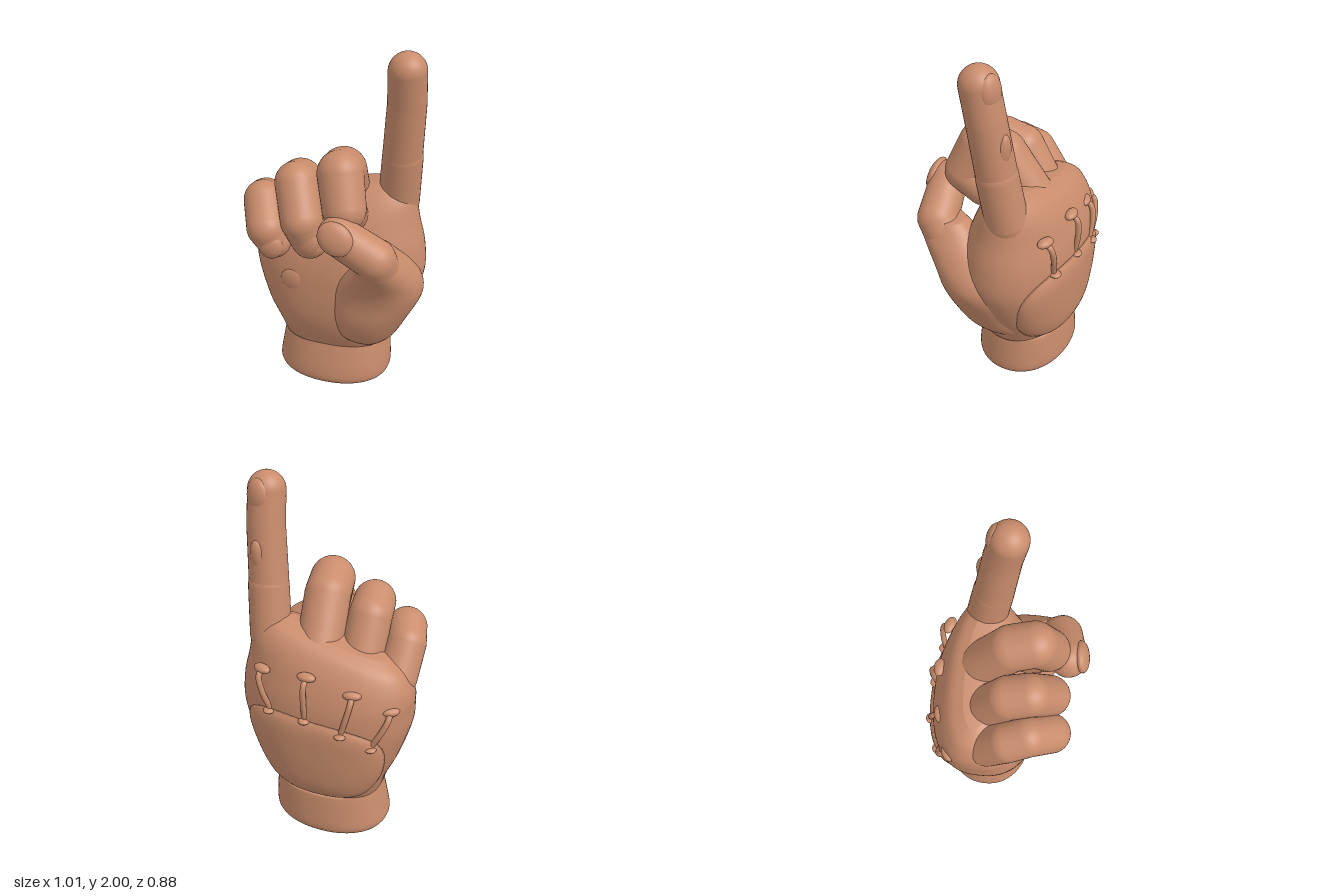
import * as THREE from 'three';

const skin = new THREE.MeshStandardMaterial({ color: 0xc98c6c });
skin.name = 'skin';
const V = (p) => new THREE.Vector3(...p);

// Surface through closed rings of points, with both ends collapsed to their centres
function ringSurface(rings) {
  const centre = (r) => {
    const c = r.reduce((s, p) => s.add(p), new THREE.Vector3()).divideScalar(r.length);
    return r.map(() => c);
  };
  const rows = [centre(rings[0]), ...rings, centre(rings[rings.length - 1])];
  const n = rings[0].length, pos = [], index = [];
  rows.forEach((r) => r.forEach((p) => pos.push(p.x, p.y, p.z)));
  for (let i = 0; i < rows.length - 1; i++) {
    for (let j = 0; j < n; j++) {
      const k = (j + 1) % n, a = i * n + j, b = i * n + k, c = a + n, d = b + n;
      index.push(a, c, b, b, c, d);
    }
  }
  const g = new THREE.BufferGeometry();
  g.setAttribute('position', new THREE.Float32BufferAttribute(pos, 3));
  g.setIndex(index);
  g.computeVertexNormals();
  return g;
}

// Smoothly interpolated section: [y, centre x, half width, front z, back z, tilt]
function sectionAt(rows, t) {
  const i = Math.min(Math.floor(t), rows.length - 2), f = t - i;
  const at = (k) => rows[Math.max(0, Math.min(rows.length - 1, k))];
  return rows[0].map((_, c) => {
    const a = at(i - 1)[c], b = at(i)[c], d = at(i + 1)[c], e = at(i + 2)[c];
    return b + 0.5 * f * (d - a + f * (2 * a - 5 * b + 4 * d - e + f * (3 * (b - d) + e - a)));
  });
}

// Point on a rounded section whose +x and -x halves may differ in squareness
function formPoint({ rows, plusPower, minusPower }, t, angle, grow = 0) {
  const [y, cx, rx, zf, zb, tilt] = sectionAt(rows, t);
  const power = Math.cos(angle) > 0 ? plusPower : minusPower;
  const s = (v) => Math.sign(v) * Math.pow(Math.abs(v), 2 / power);
  const x = cx + (rx + grow) * s(Math.cos(angle));
  const z = (zf + zb) / 2 + ((zf - zb) / 2 + grow) * s(Math.sin(angle));
  return new THREE.Vector3(x, y + tilt * x, z);
}

function loft(form, steps) {
  const rings = [], n = 72, count = (form.rows.length - 1) * steps;
  for (let i = 0; i <= count; i++) {
    rings.push(Array.from({ length: n }, (_, j) => formPoint(form, i / steps, j / n * Math.PI * 2)));
  }
  return ringSurface(rings);
}

const palm = { plusPower: 2.15, minusPower: 2.5, rows: [
  [0.25, -0.03, 0.31, 0.12, -0.33, 0],
  [0.36, -0.025, 0.35, 0.17, -0.385, 0],
  [0.5, -0.02, 0.415, 0.2, -0.405, 0],
  [0.7, -0.012, 0.482, 0.2, -0.41, 0],
  [0.85, -0.018, 0.485, 0.18, -0.405, 0.05],
  [0.97, -0.038, 0.467, 0.14, -0.38, 0.15],
  [1.08, -0.045, 0.445, 0.08, -0.34, 0.23],
  [1.16, -0.05, 0.39, 0.01, -0.285, 0.25],
  [1.2, -0.05, 0.29, -0.07, -0.21, 0.25],
] };
const thumbBase = { plusPower: 2.1, minusPower: 2.8, rows: [
  [0.28, 0.2, 0.08, 0.08, -0.22, 0],
  [0.36, 0.19, 0.165, 0.18, -0.26, 0],
  [0.5, 0.21, 0.215, 0.24, -0.24, 0],
  [0.65, 0.25, 0.245, 0.255, -0.2, 0],
  [0.75, 0.275, 0.222, 0.28, -0.16, 0],
  [0.85, 0.3, 0.16, 0.33, -0.07, 0],
  [0.93, 0.3, 0.12, 0.37, 0.03, 0],
  [1.02, 0.29, 0.08, 0.38, 0.13, 0],
] };
const wrist = { plusPower: 2.15, minusPower: 2.15, rows: [
  [0, -0.045, 0.31, 0.135, -0.335, 0],
  [0.005, -0.045, 0.325, 0.15, -0.35, 0],
  [0.04, -0.045, 0.337, 0.163, -0.367, 0],
  [0.12, -0.04, 0.33, 0.155, -0.365, 0],
  [0.24, -0.035, 0.315, 0.13, -0.355, 0],
  [0.265, -0.035, 0.305, 0.12, -0.345, 0],
  [0.29, -0.035, 0.27, 0.08, -0.3, 0],
] };

export function createModel() {
  const model = new THREE.Group();
  model.name = 'pointingHand';
  const add = (name, geometry, parent = model) => {
    const m = new THREE.Mesh(geometry, skin);
    m.name = name;
    parent.add(m);
    return m;
  };

  add('wrist', loft(wrist, 4));
  add('palm', loft(palm, 6));
  add('thumbBase', loft(thumbBase, 6));

  // Raised pad wrapped over the back of the hand, wider towards the wrist
  const padRings = [];
  for (let i = 1; i <= 20; i++) {
    const r = i / 20;
    padRings.push(Array.from({ length: 72 }, (_, j) => {
      const s = j / 72 * Math.PI * 2;
      const sq = (v) => Math.sign(v) * Math.pow(Math.abs(v), 0.8);
      const u = r * sq(Math.cos(s)), v = -r * sq(Math.sin(s));
      const t = 1.95 + 1.75 * v + 0.2 * u * (v + 1) / 2;
      return formPoint(palm, t, -Math.PI / 2 + u * (1.15 - 0.2 * v), 0.028 * (1 - r ** 8) - 0.002);
    }));
  }
  add('backPad', ringSurface(padRings));

  // Chain of tapered bones with round joints
  function finger(name, points, radii) {
    const g = new THREE.Group();
    g.name = name;
    model.add(g);
    points.map(V).forEach((p, i, all) => {
      add('joint', new THREE.SphereGeometry(radii[i], 36, 24), g).position.copy(p);
      if (!i) return;
      const d = p.clone().sub(all[i - 1]);
      const bone = add('bone', new THREE.CylinderGeometry(radii[i], radii[i - 1], d.length(), 36, 1, true), g);
      bone.position.copy(p).addScaledVector(d, -0.5);
      bone.quaternion.setFromUnitVectors(new THREE.Vector3(0, 1, 0), d.normalize());
    });
  }
  finger('indexLowerFinger', [[0.305, 1.13, -0.145], [0.327, 1.4, -0.104]], [0.114, 0.11]);
  finger('indexUpperFinger', [[0.327, 1.42, -0.1], [0.35, 1.72, -0.06], [0.354, 1.9, -0.028]],
    [0.107, 0.102, 0.1]);
  finger('middleFinger', [[0.02, 1.1, -0.15], [0.04, 1.34, 0.02], [0.06, 1.375, 0.14], [0.105, 1.21, 0.212], [0.1, 1.13, 0.11]],
    [0.125, 0.125, 0.123, 0.117, 0.102]);
  finger('ringFinger', [[-0.2, 1.04, -0.1], [-0.2, 1.25, 0.03], [-0.185, 1.285, 0.14], [-0.12, 1.12, 0.244], [-0.085, 0.995, 0.215]],
    [0.115, 0.118, 0.115, 0.112, 0.1]);
  finger('littleFinger', [[-0.39, 0.97, -0.06], [-0.4, 1.12, 0.05], [-0.37, 1.16, 0.15], [-0.308, 1.06, 0.27], [-0.275, 0.985, 0.26]],
    [0.112, 0.109, 0.109, 0.108, 0.096]);
  finger('thumb', [[0.3, 0.93, 0.25], [0.295, 0.985, 0.285], [0.107, 1.115, 0.325]], [0.115, 0.112, 0.105]);

  // Shallow oval plates sunk into the skin: nails, knuckle mark and palm mark
  function plate(name, at, normal, along, w, h, depth = 0.04) {
    const z = V(normal).normalize();
    const x = V(along).cross(z).normalize();
    const m = add(name, new THREE.SphereGeometry(1, 32, 16));
    m.quaternion.setFromRotationMatrix(new THREE.Matrix4().makeBasis(x, z.clone().cross(x), z));
    m.scale.set(w, h, depth);
    m.position.set(...at).addScaledVector(z, 0.009 - depth);
  }
  plate('indexNail', [0.378, 1.888, -0.129], [0.25, 0.08, -1], [0, 1, 0], 0.065, 0.09);
  plate('indexKnuckleMark', [0.363, 1.56, -0.181], [0.25, -0.14, -1], [0, 1, 0], 0.045, 0.11);
  plate('ringNail', [-0.075, 1.02, 0.318], [0.1, -0.1, 1], [0, 1, 0], 0.068, 0.09);
  plate('littleNail', [-0.261, 0.98, 0.355], [0.15, -0.1, 1], [0, 1, 0], 0.068, 0.075);
  plate('thumbNail', [0.12, 1.14, 0.427], [0.1, 0.25, 1], [-0.8, 0.6, 0], 0.085, 0.1);
  plate('palmMark', [-0.21, 0.7, 0.187], [-0.1, 0, 1], [0, 1, 0], 0.068, 0.065, 0.018);

  // Arched cords with flat heads running up from the pad
  const cords = [
    [[0.21, 0.8, -0.375], [0.26, 1.03, -0.335]],
    [[0, 0.8, -0.395], [0, 1.05, -0.355]],
    [[-0.2, 0.755, -0.395], [-0.24, 0.98, -0.325]],
    [[-0.35, 0.68, -0.345], [-0.425, 0.89, -0.265]],
  ];
  for (const [foot, head] of cords) {
    const a = V(foot), b = V(head);
    const out = new THREE.Vector3(a.x * 0.6, 0, -0.4).normalize();
    const mid = a.clone().lerp(b, 0.5).addScaledVector(out, 0.04);
    const top = a.clone().lerp(b, 0.88).addScaledVector(out, 0.045);
    add('backCord', new THREE.TubeGeometry(new THREE.CatmullRomCurve3([a, mid, top, b]), 24, 0.016, 12));
    const turn = Math.atan2(out.x, out.z);
    for (const [name, p, w, h] of [['cordHead', b, 0.052, 0.024], ['cordFoot', a, 0.032, 0.014]]) {
      const m = add(name, new THREE.SphereGeometry(1, 24, 16));
      m.position.copy(p).addScaledVector(out, 0.014);
      m.scale.set(w, h, 0.032);
      m.rotation.y = turn;
    }
  }
  return model;
}
